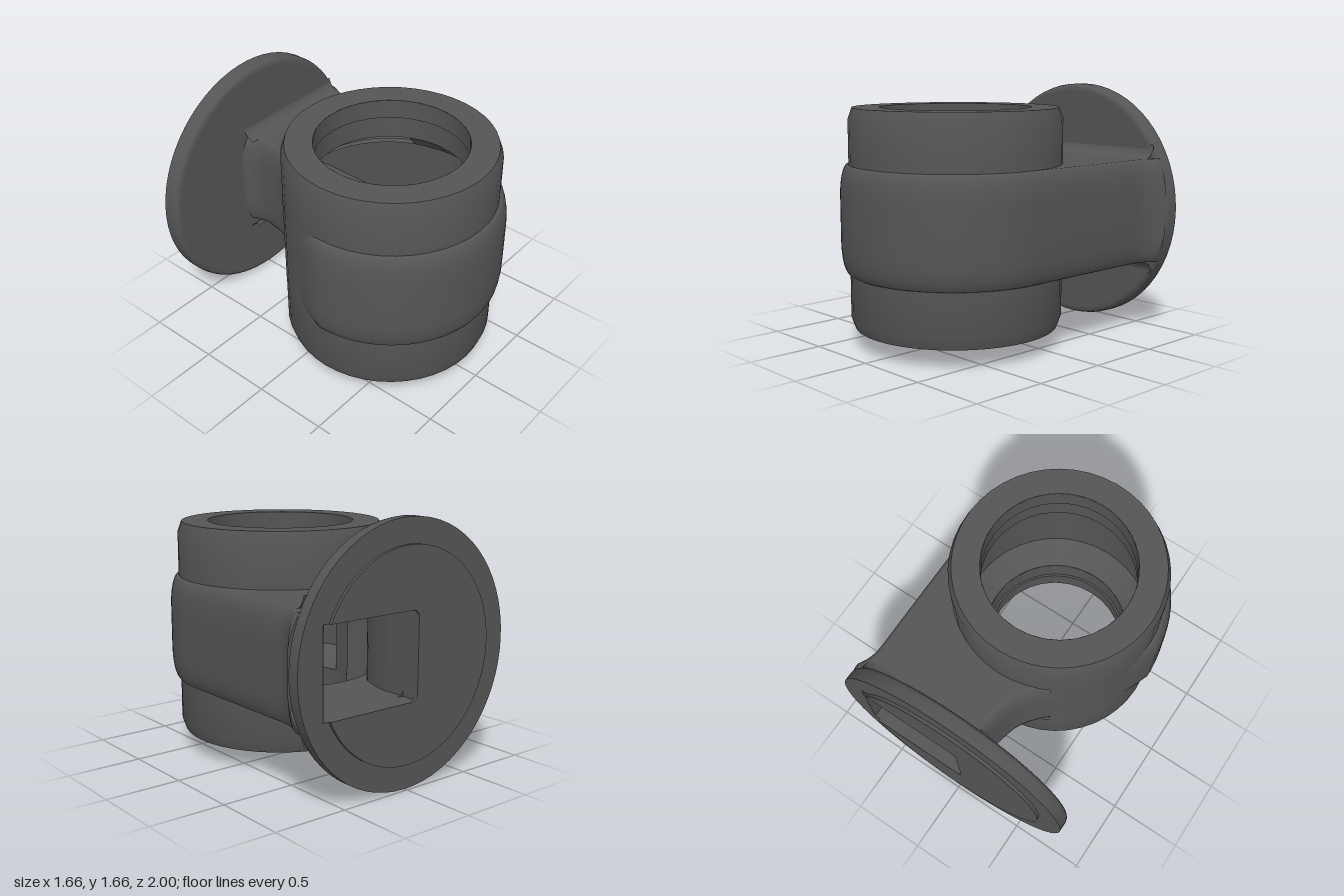
import * as THREE from 'three';
import { toCreasedNormals } from 'three/addons/utils/BufferGeometryUtils.js';

const CY = 0.833;          // mid height of everything
const AXIS = 0.255;        // z of the collar axis
const BAND = 0.348;        // half height of band and arm
const DUCT = 0.28;         // half height of the duct
const TONGUE = 3.56;       // angle where the duct leaves the bore
const HALF = Math.PI / 2;

const V2 = (x, y) => new THREE.Vector2(x, y);

export function createModel() {
  const group = new THREE.Group();
  const metal = new THREE.MeshStandardMaterial({ color: 0x555555, side: THREE.DoubleSide });
  metal.name = 'dark grey metal';

  const add = (name, geometry, x = 0, y = CY, z = 0) => {
    const mesh = new THREE.Mesh(toCreasedNormals(geometry, 0.5), metal);
    mesh.name = name;
    mesh.position.set(x, y, z);
    group.add(mesh);
    return mesh;
  };

  // Revolved part around the collar axis; profile is [radius, height]
  const turned = (name, profile, start = 0, length = Math.PI * 2, sides = 44) =>
    add(name, new THREE.LatheGeometry(profile.map(([r, h]) => V2(r, h)),
      Math.max(4, Math.round(sides * length / (Math.PI * 2))), start, length), 0, CY, AXIS);

  // Surface through rows of points
  const grid = (rows) => {
    const n = rows[0].length, index = [];
    for (let j = 0; j < rows.length - 1; j++) {
      for (let i = 0; i < n - 1; i++) {
        const a = j * n + i, b = a + n;
        index.push(a, a + 1, b, b, a + 1, b + 1);
      }
    }
    const g = new THREE.BufferGeometry().setFromPoints(rows.flat());
    g.setIndex(index);
    g.computeVertexNormals();
    return g;
  };

  // Move a plan path (x, z) inward
  const inset = (path, d) => path.map((p, i) => {
    const a = path[Math.max(i - 1, 0)], b = path[Math.min(i + 1, path.length - 1)];
    const t = b.clone().sub(a).normalize();
    return V2(p.x + t.y * d, p.y - t.x * d);
  });

  const smooth = (pts, n) => new THREE.SplineCurve(pts.map(([x, z]) => V2(x, z))).getPoints(n);
  const plan = (points, holes = []) => {
    const s = new THREE.Shape(points);
    s.holes.push(...holes);
    return new THREE.ShapeGeometry(s, 40).rotateX(HALF);
  };

  // Collar ends, bore lips and sloped shoulders of the inner chamber
  for (const s of [1, -1]) {
    const end = s > 0 ? 'upper' : 'lower';
    const m = (profile) => profile.map(([r, h]) => [r, h * s]);
    turned(end + 'CollarOutside', m([[0.685, 0.34], [0.685, 0.635], [0.66, 0.705], [0.485, 0.705]]));
    turned(end + 'Bore', m([[0.485, 0.705], [0.485, 0.575], [0.5, 0.575], [0.5, 0.42]]), 0, Math.PI * 2, 32);
    turned(end + 'ChamberShoulder', m([[0.5, 0.42], [0.65, DUCT]]), -HALF, Math.PI * 1.5 + TONGUE - 1.5 * Math.PI + HALF - HALF);
  }

  // Chamber wall, plain bore wall and the exposed collar wall
  turned('chamberWall', [[0.65, DUCT], [0.65, -DUCT]], -HALF, Math.PI);
  turned('plainBoreWall', [[0.5, 0.42], [0.5, -0.42]], TONGUE, 1.5 * Math.PI - TONGUE, 32);
  turned('collarMiddle', [[0.685, -0.35], [0.685, 0.35]], 3.65, 1.5 * Math.PI - 3.65);

  // Closing walls at both ends of the chamber
  for (const phi of [TONGUE, 1.5 * Math.PI]) {
    const s = new THREE.Shape([V2(0.5, 0.42), V2(0.65, DUCT), V2(0.65, -DUCT), V2(0.5, -0.42)]);
    add('chamberEnd', new THREE.ShapeGeometry(s).rotateY(phi - HALF), 0, CY, AXIS);
  }

  // Plan outlines: the concave arm side, and the band running into the straight arm side
  const concave = smooth([[-0.24, -0.88], [-0.18, -0.86], [-0.157, -0.8], [-0.155, -0.72],
    [-0.2, -0.53], [-0.3, -0.39], [-0.42, -0.28]], 28);
  const bandArc = Array.from({ length: 41 }, (_, i) => {
    const a = Math.PI * (1 - i / 40);
    return V2(0.74 * Math.cos(a), AXIS + 0.74 * Math.sin(a));
  });
  const straight = smooth([[0.74, -0.1], [0.74, -0.5], [0.74, -0.7], [0.755, -0.78],
    [0.785, -0.84], [0.82, -0.88]], 20);
  const band = [V2(-0.61, -0.04), V2(-0.68, 0.1), ...bandArc, ...straight];

  // Swollen outer walls with elliptical rounding toward top and bottom
  const levels = [];
  for (let k = 0; k <= 6; k++) {
    const a = HALF * k / 6;
    levels.push([0.148 + 0.2 * Math.sin(a), 0.05 * (1 - Math.cos(a))]);
  }
  const rowsY = [...levels.map(([h, d]) => [-h, d]).reverse(), ...levels];
  const onFlange = (p, y) => p.y < -0.7 ? Math.min(p.x, Math.sqrt(0.83 * 0.83 - y * y)) : p.x;
  const wall = (path) => grid(rowsY.map(([y, d]) =>
    inset(path, d).map((p) => new THREE.Vector3(onFlange(p, y), y, p.y))));
  add('bandAndArmWall', wall(band));
  add('concaveArmWall', wall(concave));

  // Flat top and bottom of band and arm, with fillets against the flange
  const capOutline = [...inset(band, 0.05), ...inset(concave, 0.05)];
  capOutline.forEach((p) => { p.x = onFlange(p, BAND); });
  for (const s of [1, -1]) {
    const hole = new THREE.Path().absarc(0, AXIS, 0.59, 0, Math.PI * 2, true);
    add(s > 0 ? 'armTop' : 'armBottom', plan(capOutline, [hole]), 0, CY + s * BAND);

    const curve = [];
    for (let i = 0; i <= 8; i++) {
      const a = HALF * i / 8;
      curve.push([-0.79 - 0.09 * Math.sin(a), s * (BAND + 0.09 * (1 - Math.cos(a)))]);
    }
    add('flangeFillet', grid([-0.17, 0.71].map((x) => curve.map(([z, y]) =>
      new THREE.Vector3(x > 0 ? Math.min(x, Math.sqrt(0.688 - y * y)) : x, y, z)))));
  }

  // Duct from the flange into the chamber
  const tongue = [0.65 * Math.sin(TONGUE), AXIS + 0.65 * Math.cos(TONGUE)];
  const ductInner = smooth([tongue, [-0.14, -0.48], [-0.075, -0.68], [-0.07, -0.8], [-0.07, -0.985]], 20);
  const ductOuter = [V2(0.65, -0.985), V2(0.65, AXIS)];
  const ductArc = Array.from({ length: 21 }, (_, i) => {
    const a = HALF + (TONGUE - HALF) * i / 20;
    return V2(0.65 * Math.sin(a), AXIS + 0.65 * Math.cos(a));
  });
  for (const path of [ductInner, ductOuter]) {
    add('ductWall', grid([-DUCT, DUCT].map((y) => path.map((p) => new THREE.Vector3(p.x, y, p.y)))));
  }
  for (const s of [1, -1]) {
    add(s > 0 ? 'ductCeiling' : 'ductFloor',
      plan([...ductOuter, ...ductArc.slice(1, -1), ...ductInner]), 0, CY + s * DUCT);
  }

  // Round flange: rim, front and back faces pierced by the duct
  const rim = [[0.79, 0.105], [0.81, 0.1], [0.825, 0.085], [0.83, 0.065], [0.83, 0]];
  add('flangeRim', new THREE.LatheGeometry(rim.map(([r, h]) => V2(r, h)), 64).rotateX(HALF), 0, CY, -0.98);
  const port = () => {
    const p = new THREE.Path();
    p.moveTo(0.65, -DUCT);
    p.lineTo(0.65, DUCT);
    p.lineTo(-0.02, DUCT);
    p.quadraticCurveTo(-0.07, DUCT, -0.07, DUCT - 0.05);
    p.lineTo(-0.07, 0.05 - DUCT);
    p.quadraticCurveTo(-0.07, -DUCT, -0.02, -DUCT);
    p.closePath();
    return p;
  };
  for (const [name, r, z] of [['flangeFront', 0.79, -0.875], ['flangeBack', 0.83, -0.98]]) {
    const face = new THREE.Shape().absarc(0, 0, r, 0, Math.PI * 2, false);
    face.holes.push(port());
    add(name, new THREE.ShapeGeometry(face, 32), 0, CY, z);
  }

  // Raised mating face, cut open on one side by the port
  const a = Math.asin(DUCT / 0.67);
  const seat = new THREE.Shape();
  seat.absarc(0, 0, 0.67, a, Math.PI * 2 - a, false);
  seat.lineTo(-0.02, -DUCT);
  seat.quadraticCurveTo(-0.07, -DUCT, -0.07, 0.05 - DUCT);
  seat.lineTo(-0.07, DUCT - 0.05);
  seat.quadraticCurveTo(-0.07, DUCT, -0.02, DUCT);
  seat.closePath();
  add('matingFace', new THREE.ExtrudeGeometry(seat, { depth: 0.02, bevelEnabled: false, curveSegments: 48 }), 0, CY, -1);

  return group;
}
